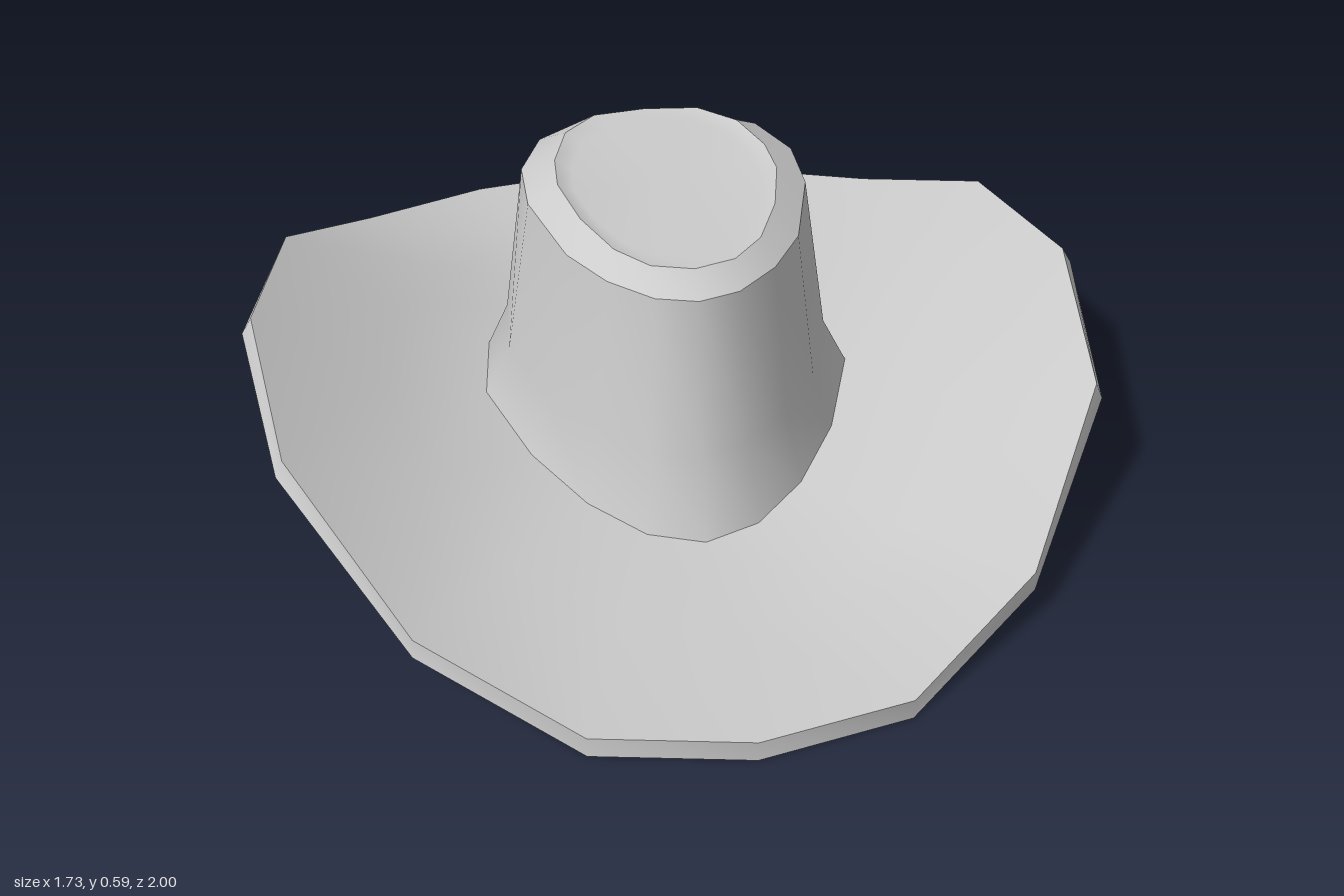
import * as THREE from 'three';

const material = new THREE.MeshStandardMaterial({ color: 0xcccccc });

// Full ring from one half outline [x, z] running back to front; height is a rule (x, z, i)
function ring(half, height) {
  const pts = half.map(([x, z], i) => new THREE.Vector3(x, height(x, z, i), z));
  const mirrored = pts.slice(1, -1).reverse().map((p) => new THREE.Vector3(-p.x, p.y, p.z));
  return [...pts, ...mirrored];
}

const scaled = (half, sx, sz = sx) => half.map(([x, z]) => [x * sx, z * sz]);

// Blend two rings, with a separate fraction for the height
const blend = (a, b, t, ty = t) => a.map((p, i) => {
  const q = p.clone().lerp(b[i], t);
  q.y = p.y + (b[i].y - p.y) * ty;
  return q;
});

// Smooth skin through rings; a ring may collapse to a single point
function skin(name, rings) {
  const n = rings[0].length;
  const positions = [];
  const index = [];
  rings.forEach((r) => r.forEach((p) => positions.push(p.x, p.y, p.z)));
  const isPoint = (r) => r[0].distanceTo(r[n / 2]) < 1e-6;
  for (let j = 0; j < rings.length - 1; j++) {
    for (let i = 0; i < n; i++) {
      const k = (i + 1) % n;
      const a = j * n + i, b = j * n + k, c = b + n, d = a + n;
      if (!isPoint(rings[j + 1])) index.push(a, d, c);
      if (!isPoint(rings[j])) index.push(a, c, b);
    }
  }
  const geometry = new THREE.BufferGeometry();
  geometry.setAttribute('position', new THREE.Float32BufferAttribute(positions, 3));
  geometry.setIndex(index);
  geometry.computeVertexNormals();
  const mesh = new THREE.Mesh(geometry, material);
  mesh.name = name;
  return mesh;
}

export function createModel() {
  const hat = new THREE.Group();
  hat.name = 'hat';

  // Half outlines, back to front
  const brimHalf = [[0, -1], [0.33, -0.955], [0.61, -0.74], [0.8, -0.4], [0.865, 0],
    [0.8, 0.4], [0.575, 0.73], [0.29, 0.945], [0, 1]];
  const baseHalf = [[0, -0.48], [0.15, -0.45], [0.28, -0.35], [0.365, -0.19], [0.385, 0],
    [0.31, 0.2], [0.215, 0.345], [0.11, 0.44], [0, 0.475]];
  const shoulderHalf = [[0, -0.375], [0.13, -0.35], [0.23, -0.27], [0.28, -0.14], [0.28, 0],
    [0.225, 0.19], [0.16, 0.285], [0.08, 0.35], [0, 0.37]];
  const topHalf = [[0, -0.32], [0.11, -0.3], [0.18, -0.22], [0.215, -0.1], [0.22, 0],
    [0.19, 0.13], [0.14, 0.24], [0.08, 0.3], [0, 0.32]];

  // Brim rises to both sides; its edge leans inward there
  const rise = [0, 0, 0.07, 0.245, 0.305, 0.245, 0.07, 0, 0];
  const lowerEdge = ring(brimHalf, (x, z, i) => rise[i]);
  const upperEdge = lowerEdge.map((p) => new THREE.Vector3(
    p.x * (1 - 0.08 * p.y), p.y + 0.043 - 0.025 * p.y, p.z));

  // Crown rings, from brim to top
  const base = ring(baseHalf, (x) => 0.045 + 0.06 * (x / 0.385) ** 2);
  const shoulder = ring(shoulderHalf, (x) => 0.535 + 0.018 * (x / 0.28) ** 2);
  const flare = blend(base, shoulder, 0.5);
  flare.forEach((p) => { p.y = 0.21; });
  const top = ring(topHalf, (x) => 0.575 + 0.016 * (x / 0.22) ** 2);
  const dent = ring(scaled(topHalf, 0.85), () => 0.573);
  const topCentre = ring(scaled(topHalf, 0), () => 0.575);

  // Hollow inside
  const opening = ring(scaled(baseHalf, 0.9), (x) => 0.05 * (x / 0.3465) ** 2);
  const innerTop = ring(scaled(shoulderHalf, 0.87), () => 0.51);
  const innerFlare = blend(opening, innerTop, 0.5);
  innerFlare.forEach((p) => { p.y = 0.19; });
  const ceilingRim = ring(scaled(topHalf, 0.9), () => 0.535);
  const ceilingCentre = ring(scaled(topHalf, 0), () => 0.535);

  hat.add(
    skin('crownLining', [ceilingCentre, ceilingRim, innerTop, innerFlare, opening]),
    skin('brimUnderside', [opening, blend(opening, lowerEdge, 0.45, 0.27), lowerEdge]),
    skin('brimEdge', [lowerEdge, upperEdge]),
    skin('brimTop', [upperEdge, blend(base, upperEdge, 0.45, 0.27), base]),
    skin('crownWall', [base, flare, shoulder]),
    skin('crownBevel', [shoulder, top]),
    skin('crownTop', [top, dent, topCentre]),
  );
  return hat;
}
